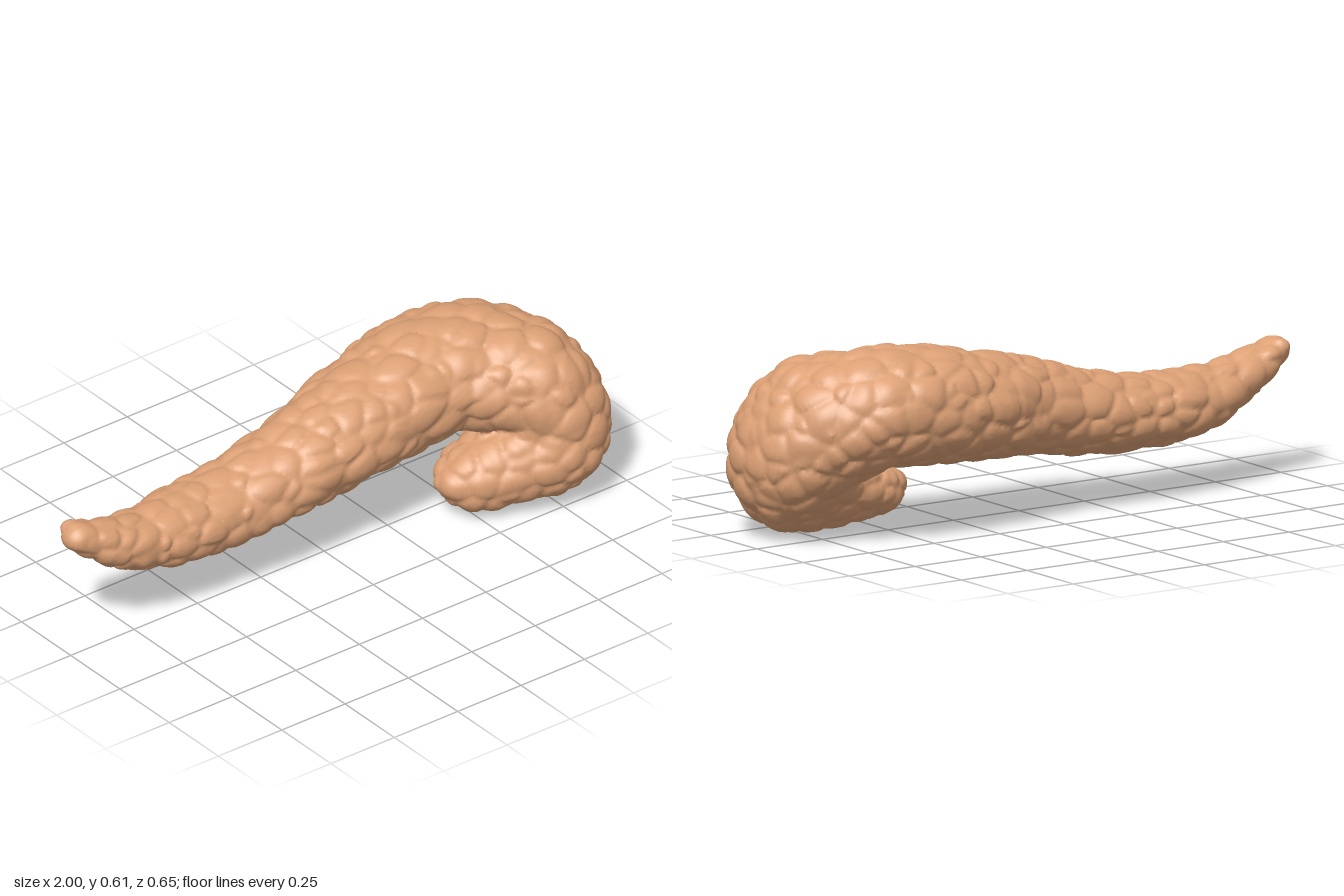
import * as THREE from 'three';

// Centre line of the gland from tail tip to hook: x, y, z, vertical radius
const SPINE = [
  [-0.95, 0.395, -0.04, 0.05], [-0.8, 0.318, -0.037, 0.079], [-0.6, 0.275, -0.055, 0.109],
  [-0.4, 0.268, -0.063, 0.122], [-0.2, 0.294, -0.06, 0.134], [0, 0.337, -0.061, 0.15],
  [0.2, 0.37, -0.085, 0.169], [0.4, 0.395, -0.104, 0.185], [0.58, 0.41, -0.094, 0.19],
  [0.7, 0.38, -0.045, 0.194], [0.79, 0.28, 0.06, 0.2], [0.785, 0.186, 0.098, 0.184],
  [0.66, 0.146, 0.098, 0.144], [0.52, 0.115, 0.083, 0.107], [0.45, 0.12, 0.08, 0.063],
];
// Fuller upper front of the head
const HEAD = [[0.6, 0.4, -0.03, 0.17], [0.74, 0.375, 0.045, 0.19], [0.785, 0.3, 0.07, 0.196]];
const WIDE = 1.2;      // sections are wider in z than in y
const LOBULE = 0.088;  // lobule size
const STEP = 0.0095;   // surface grid spacing

// Smoothly subdivide a line of points into short tapered segments
function makeSegments(line) {
  const curve = new THREE.CatmullRomCurve3(line.map(([x, y, z]) => new THREE.Vector3(x, y, z / WIDE)));
  const radii = new THREE.CatmullRomCurve3(line.map((p) => new THREE.Vector3(p[3], 0, 0)));
  const n = (line.length - 1) * 3;
  const pts = [];
  for (let i = 0; i <= n; i++) {
    const p = curve.getPoint(i / n);
    pts.push([p.x, p.y, p.z, radii.getPoint(i / n).x]);
  }
  return pts.slice(1).map((b, i) => {
    const a = pts[i];
    const d = [b[0] - a[0], b[1] - a[1], b[2] - a[2], b[3] - a[3]];
    return { a, d, len2: d[0] * d[0] + d[1] * d[1] + d[2] * d[2] };
  });
}

function hash(x, y, z, k) {
  let h = Math.imul(x, 374761393) ^ Math.imul(y, 668265263) ^ Math.imul(z, 1274126177) ^ Math.imul(k, 974634777);
  h = Math.imul(h ^ (h >>> 13), 1274126177);
  h = Math.imul(h ^ (h >>> 15), 2246822519);
  return ((h ^ (h >>> 16)) >>> 0) / 4294967296;
}

// Furrow depth: rounded lobules with a soft crease where two of them meet
function furrow(x, y, z) {
  const ix = Math.floor(x), iy = Math.floor(y), iz = Math.floor(z);
  let first = 9, second = 9;
  for (let i = ix - 1; i <= ix + 1; i++)
    for (let j = iy - 1; j <= iy + 1; j++)
      for (let k = iz - 1; k <= iz + 1; k++) {
        const dx = i + hash(i, j, k, 1) - x, dy = j + hash(i, j, k, 2) - y, dz = k + hash(i, j, k, 3) - z;
        const d = dx * dx + dy * dy + dz * dz;
        if (d < first) {
          second = first;
          first = d;
        } else if (d < second) second = d;
      }
  const crease = Math.max(0, 1 - (Math.sqrt(second) - Math.sqrt(first)) / 0.45);
  return 0.014 * Math.min(first, 0.8) + 0.007 * crease * crease;
}

// Signed field: negative inside the gland
function makeField() {
  const segments = [...makeSegments(SPINE), ...makeSegments(HEAD)];
  return (x, y, zz) => {
    const z = zz / WIDE;
    let d = 9;
    for (const { a, d: v, len2 } of segments) {
      const px = x - a[0], py = y - a[1], pz = z - a[2];
      const t = Math.min(1, Math.max(0, (px * v[0] + py * v[1] + pz * v[2]) / len2));
      const qx = px - t * v[0], qy = py - t * v[1], qz = pz - t * v[2];
      d = Math.min(d, Math.sqrt(qx * qx + qy * qy + qz * qz) - a[3] - t * v[3]);
    }
    // slanting underside of the head and hook, flattened and slightly hollow
    const hollow = 0.02 * Math.exp(-((x - 0.7) ** 2 + (y - 0.17) ** 2 + (zz + 0.14) ** 2) / 0.012);
    const flat = (0.05 - y - 0.78 * zz) / 1.27 + hollow;
    const blend = Math.max(0, 0.03 - Math.abs(d - flat));
    d = Math.max(d, flat) + blend * blend / 0.12;
    if (d > 0.05 || d < -0.08) return d;
    // lobules stretch a little along the body
    return d + furrow(x / (LOBULE * 1.15), y / LOBULE, zz / LOBULE) - 0.0065;
  };
}

// Turn the field into a smooth quad mesh
function skin(field, lo, hi) {
  const n = lo.map((l, i) => Math.ceil((hi[i] - l) / STEP) + 1);
  const stride = [1, n[0], n[0] * n[1]];
  const values = new Float32Array(n[0] * n[1] * n[2]);
  const at = (g, i) => lo[i] + g * STEP;
  for (let k = 0, o = 0; k < n[2]; k++)
    for (let j = 0; j < n[1]; j++)
      for (let i = 0; i < n[0]; i++) values[o++] = field(at(i, 0), at(j, 1), at(k, 2));

  // one vertex in every cell that the surface crosses
  const ids = new Int32Array(values.length).fill(-1);
  const positions = [];
  const corner = [0, 1, 2, 3, 4, 5, 6, 7].map((c) => [c & 1, (c >> 1) & 1, c >> 2]);
  for (let k = 0; k < n[2] - 1; k++)
    for (let j = 0; j < n[1] - 1; j++)
      for (let i = 0; i < n[0] - 1; i++) {
        const o = i + j * stride[1] + k * stride[2];
        const f = corner.map((c) => values[o + c[0] + c[1] * stride[1] + c[2] * stride[2]]);
        const sum = [0, 0, 0];
        let count = 0;
        for (let a = 0; a < 8; a++)
          for (const bit of [1, 2, 4]) {
            const b = a | bit;
            if (b === a || (f[a] < 0) === (f[b] < 0)) continue;
            const t = f[a] / (f[a] - f[b]);
            for (let m = 0; m < 3; m++) sum[m] += corner[a][m] + t * (corner[b][m] - corner[a][m]);
            count++;
          }
        if (!count) continue;
        ids[o] = positions.length / 3;
        positions.push(at(i + sum[0] / count, 0), at(j + sum[1] / count, 1), at(k + sum[2] / count, 2));
      }

  // one quad around every grid edge that the surface crosses
  const index = [];
  for (let k = 1; k < n[2] - 1; k++)
    for (let j = 1; j < n[1] - 1; j++)
      for (let i = 1; i < n[0] - 1; i++) {
        const o = i + j * stride[1] + k * stride[2];
        for (let a = 0; a < 3; a++) {
          const inside = values[o] < 0;
          if (inside === values[o + stride[a]] < 0) continue;
          const b = stride[(a + 1) % 3], c = stride[(a + 2) % 3];
          const q = [ids[o - b - c], ids[o - c], ids[o], ids[o - b]];
          if (!inside) q.reverse();
          index.push(q[0], q[1], q[2], q[0], q[2], q[3]);
        }
      }
  const geometry = new THREE.BufferGeometry();
  geometry.setAttribute('position', new THREE.Float32BufferAttribute(positions, 3));
  geometry.setIndex(index);
  return geometry;
}

export function createModel() {
  const tissue = new THREE.MeshStandardMaterial({ color: 0xdca075 });
  tissue.name = 'tan tissue';

  const geometry = skin(makeField(), [-1.05, -0.06, -0.4], [1.05, 0.68, 0.4]);

  // stand on the ground, centred
  geometry.computeBoundingBox();
  const centre = geometry.boundingBox.getCenter(new THREE.Vector3());
  geometry.translate(-centre.x, -geometry.boundingBox.min.y, -centre.z);
  geometry.computeVertexNormals();

  const gland = new THREE.Mesh(geometry, tissue);
  gland.name = 'lobedGland';
  const group = new THREE.Group();
  group.name = 'pancreas';
  group.add(gland);
  return group;
}
